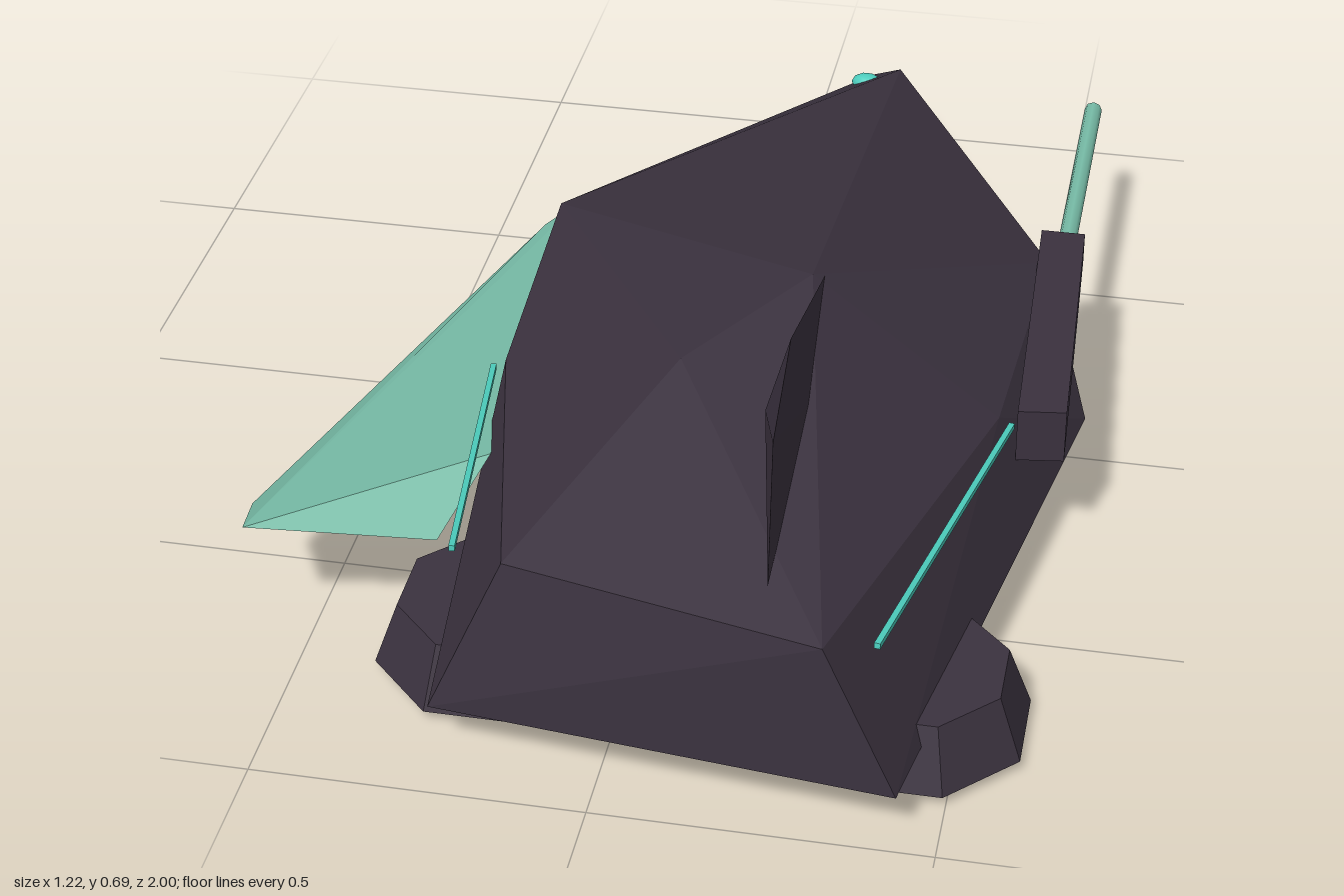
import * as THREE from 'three';
import { ConvexGeometry } from 'three/addons/geometries/ConvexGeometry.js';

const material = (name, color) => {
  const m = new THREE.MeshStandardMaterial({ color });
  m.name = name;
  return m;
};

export function createModel() {
  const plating = material('dark plating', 0x3b323f);
  const glow = material('bright teal', 0x4ccdbd);
  const glass = material('pale teal', 0x78bda8);
  const model = new THREE.Group();
  model.name = 'spacecraft';

  const add = (name, geometry, mat, parent = model) => {
    const mesh = new THREE.Mesh(geometry, mat);
    mesh.name = name;
    parent.add(mesh);
    return mesh;
  };
  // Faceted solid spanned by its corner points
  const facets = (name, corners, mat) =>
    add(name, new ConvexGeometry(corners.map(c => new THREE.Vector3(...c))), mat);

  facets('hull', [
    [0.11, 0.125, -1], [0.17, 0.185, -0.92],                                // nose
    [0.2, 0.482, 0.28], [0.04, 0.453, 0.5],                                 // roof peaks
    [-0.3, 0.285, -0.17], [-0.28, 0.28, 0.3],                               // shoulders
    [0.52, 0.258, -0.18], [0.495, 0.27, 0.3],
    [-0.32, 0.1, -0.05], [0.61, 0.1, 0.03],                                 // lower chines
    [-0.14, 0.34, 0.89], [0.33, 0.32, 0.97],                                // stern plate
    [-0.25, 0.09, 0.92], [0.44, 0.085, 0.985],
    [-0.09, 0.045, 0.79], [0.26, 0.045, 0.8], [-0.1, 0.04, -0.26], [0.36, 0.04, -0.28], // belly
  ], plating);

  facets('tailFin', [
    [0.215, 0.465, 0.25], [0.24, 0.355, 0.89], [0.205, 0.53, 0.72],
    [0.25, 0.695, 0.78], [0.264, 0.675, 1], [0.235, 0.4, 0.5],
  ], plating);

  facets('sideWing', [
    [-0.32, 0.165, -0.37], [-0.36, 0.16, -0.3], [-0.61, 0.165, 0.59], [-0.575, 0.23, 0.735],
    [-0.25, 0.257, 0.52], [-0.3, 0.19, 0.66], [-0.3, 0.16, 0.3],
  ], glass);

  // Side gun: tapered housing and barrel
  facets('gunHousing', [
    [0.523, 0.195, 0.3], [0.597, 0.195, 0.29], [0.523, 0.285, 0.3], [0.597, 0.285, 0.29],
    [0.5, 0.215, -0.26], [0.572, 0.215, -0.26], [0.5, 0.27, -0.26], [0.572, 0.27, -0.26],
  ], plating);
  const barrelGeometry = new THREE.CylinderGeometry(0.015, 0.015, 0.48, 8);
  barrelGeometry.rotateX(Math.PI / 2);
  add('gunBarrel', barrelGeometry, glass).position.set(0.543, 0.247, -0.485);

  // Octagonal landing thrusters with glowing pads
  const octagon = (top, bottom, height) => {
    const k = 1 / Math.cos(Math.PI / 8);
    const g = new THREE.CylinderGeometry(top * k, bottom * k, height, 8).toNonIndexed();
    g.rotateY(Math.PI / 8);
    g.computeVertexNormals();
    return g;
  };
  for (const [name, x, z, r, h] of [
    ['leftThruster', 0.425, 0.725, 0.17, 0.1],
    ['rightThruster', -0.207, 0.675, 0.173, 0.1],
    ['noseThruster', 0.11, -0.5, 0.138, 0.1],
  ]) {
    const thruster = new THREE.Group();
    thruster.name = name;
    thruster.position.set(x, 0, z);
    add('thrusterHousing', octagon(r * 0.8, r, h), plating, thruster).position.y = 0.018 + h / 2;
    add('thrusterPad', octagon(r * 0.81, r * 0.81, 0.018), glow, thruster).position.y = 0.009;
    model.add(thruster);
  }

  // Light strips along the shoulders
  for (const [name, from, to] of [
    ['leftLightStrip', [0.515, 0.258, 0.3], [0.4, 0.305, 0.93]],
    ['rightLightStrip', [-0.3, 0.265, 0.3], [-0.228, 0.31, 0.83]],
  ]) {
    const a = new THREE.Vector3(...from), b = new THREE.Vector3(...to);
    const strip = add(name, new THREE.BoxGeometry(0.009, 0.009, a.distanceTo(b)), glow);
    strip.position.copy(a).lerp(b, 0.5);
    strip.lookAt(b);
  }

  // Small lamp set into the nose
  const lamp = add('noseLamp', new THREE.IcosahedronGeometry(0.028, 1), glow);
  lamp.scale.set(1, 0.6, 0.7);
  lamp.position.set(0.11, 0.163, -0.9);

  return model;
}
